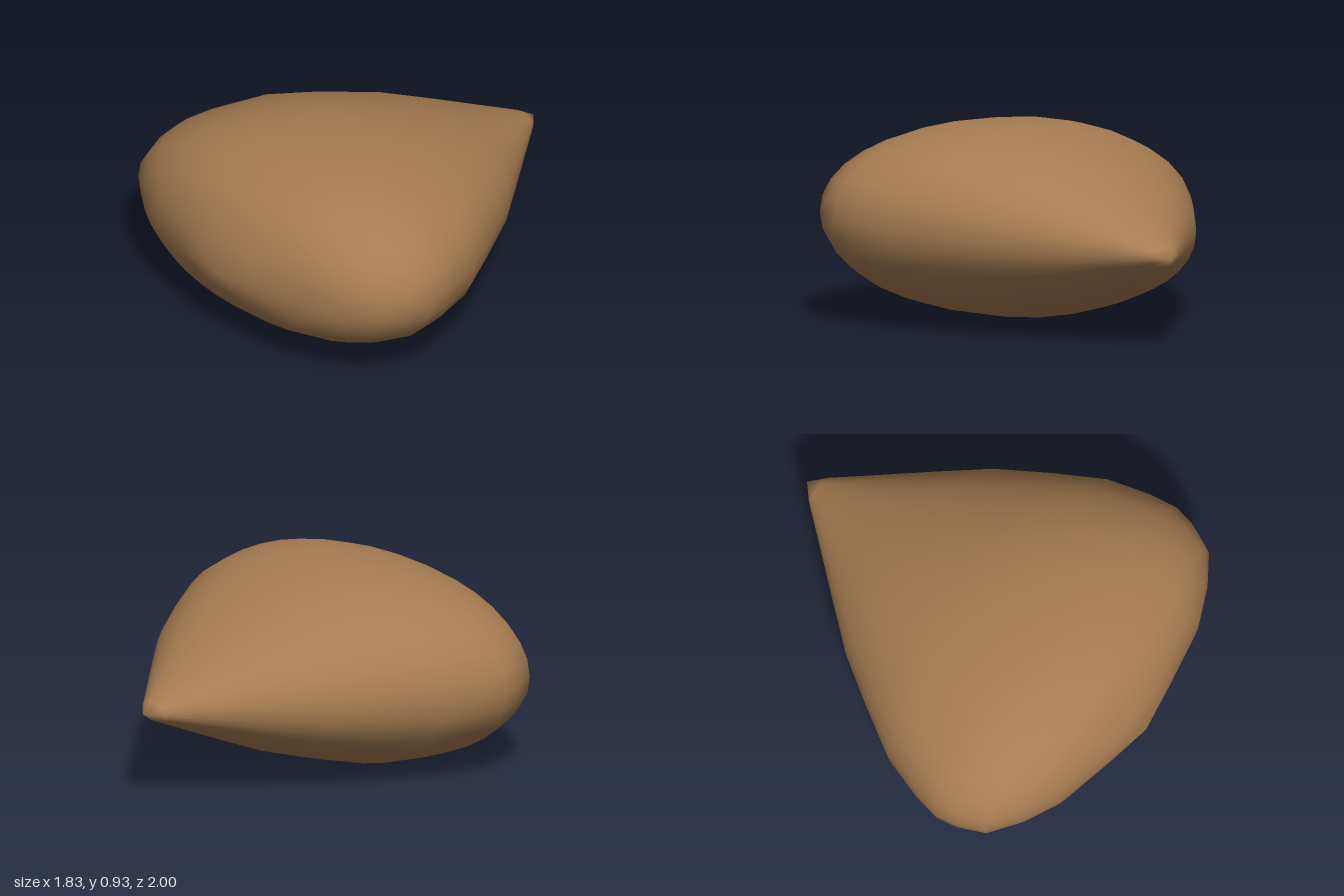
import * as THREE from 'three';

// Cross-sections from the pointed tip to the blunt end:
// [distance along axis, half width, half height, centre height]
const SECTIONS = [
  [0.07, 0.075, 0.045, 0.45], [0.26, 0.23, 0.13, 0.455], [0.46, 0.395, 0.22, 0.46],
  [0.68, 0.573, 0.315, 0.465], [0.92, 0.722, 0.395, 0.47], [1.15, 0.855, 0.455, 0.47],
  [1.36, 0.92, 0.467, 0.47], [1.5, 0.945, 0.46, 0.47], [1.61, 0.925, 0.435, 0.475],
  [1.74, 0.868, 0.39, 0.48], [1.84, 0.728, 0.335, 0.48], [1.92, 0.56, 0.265, 0.48],
  [1.985, 0.26, 0.135, 0.465],
];
const SIDES = 32;
const TIP = new THREE.Vector3(0.48, 0.45, -1);
const END = new THREE.Vector3(-0.2, 0.45, 0.92);
const ROLL = 0.045; // slight tilt of every section

// Flattened teardrop lofted along the slanted axis, closed by a point at each end
function teardropGeometry() {
  const along = END.clone().sub(TIP).normalize();
  const across = new THREE.Vector3(along.z, 0, -along.x);
  const round = (v) => Math.sign(v) * Math.abs(v) ** 0.95;
  const positions = [];
  const index = [];

  for (const [s, halfWidth, halfHeight, centreY] of SECTIONS) {
    for (let j = 0; j < SIDES; j++) {
      const a = (j / SIDES) * Math.PI * 2;
      const w = halfWidth * round(Math.cos(a));
      const p = TIP.clone().addScaledVector(along, s).addScaledVector(across, w);
      positions.push(p.x, centreY + halfHeight * round(Math.sin(a)) + ROLL * w, p.z);
    }
  }
  const last = (SECTIONS.length - 1) * SIDES;
  const tip = last + SIDES;
  const end = tip + 1;
  positions.push(...TIP.toArray(), ...END.toArray());

  for (let j = 0; j < SIDES; j++) {
    const k = (j + 1) % SIDES;
    for (let r = 0; r < last; r += SIDES) {
      index.push(r + j, r + k, r + SIDES + j);
      index.push(r + k, r + SIDES + k, r + SIDES + j);
    }
    index.push(tip, k, j);
    index.push(end, last + j, last + k);
  }

  const geometry = new THREE.BufferGeometry();
  geometry.setAttribute('position', new THREE.Float32BufferAttribute(positions, 3));
  geometry.setIndex(index);
  geometry.computeVertexNormals();
  return geometry;
}

export function createModel() {
  const group = new THREE.Group();
  group.name = 'seed';
  const body = new THREE.Mesh(
    teardropGeometry(),
    new THREE.MeshStandardMaterial({ color: 0xa67c52 })
  );
  body.name = 'seedBody';
  group.add(body);
  return group;
}
